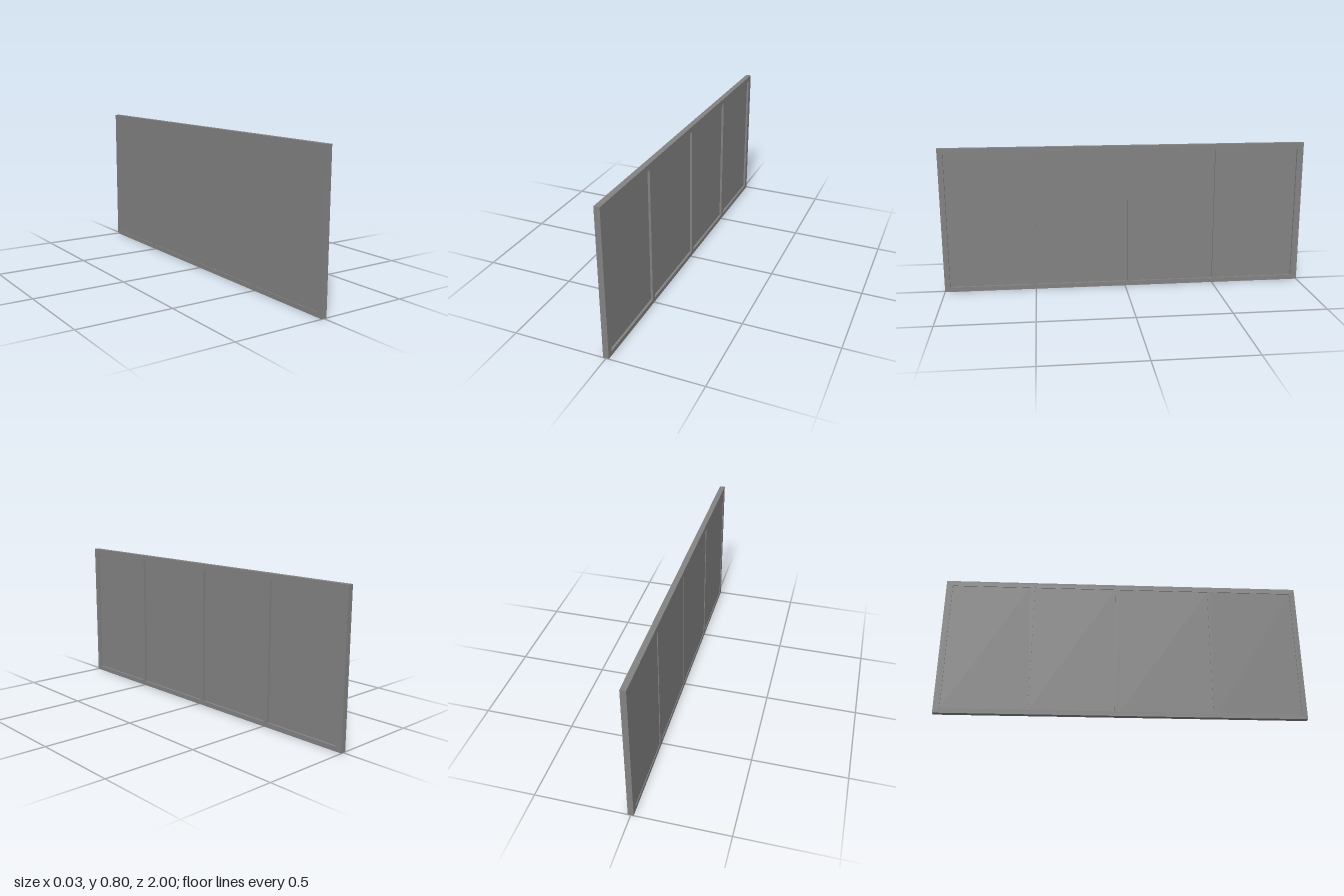
import * as THREE from 'three';

const HEIGHT = 0.797, DEPTH = 0.03;
const SILL = 0.025, HEAD = 0.767;
// z extents of the four openings, front to back
const OPENINGS = [[0.971, 0.515], [0.49, -0.013], [-0.04, -0.5], [-0.527, -0.965]];

// Rectangle path from two opposite corners
function rect(path, x0, y0, x1, y1) {
  path.moveTo(x0, y0);
  path.lineTo(x1, y0);
  path.lineTo(x1, y1);
  path.lineTo(x0, y1);
  path.closePath();
  return path;
}

export function createModel() {
  const group = new THREE.Group();
  group.name = 'windowWall';
  const material = new THREE.MeshStandardMaterial({ color: 0x828282, flatShading: true });

  // Frame with mullions: drawn in (-z, y), extruded through its thickness
  const outline = rect(new THREE.Shape(), -1, 0, 1, HEIGHT);
  for (const [z0, z1] of OPENINGS) {
    outline.holes.push(rect(new THREE.Path(), -z0, SILL, -z1, HEAD));
  }
  const frameGeometry = new THREE.ExtrudeGeometry(outline, { depth: DEPTH, bevelEnabled: false });
  frameGeometry.translate(0, 0, -DEPTH / 2);
  frameGeometry.rotateY(Math.PI / 2);
  const frame = new THREE.Mesh(frameGeometry, material);
  frame.name = 'frame';
  group.add(frame);

  // Recessed panes, set deeper on the +x side
  const paneMin = -0.011, paneMax = 0.003;
  OPENINGS.forEach(([z0, z1], i) => {
    const pane = new THREE.Mesh(
      new THREE.BoxGeometry(paneMax - paneMin, HEAD - SILL, z0 - z1), material);
    pane.position.set((paneMin + paneMax) / 2, (SILL + HEAD) / 2, (z0 + z1) / 2);
    pane.name = `pane${i + 1}`;
    group.add(pane);
  });

  return group;
}
